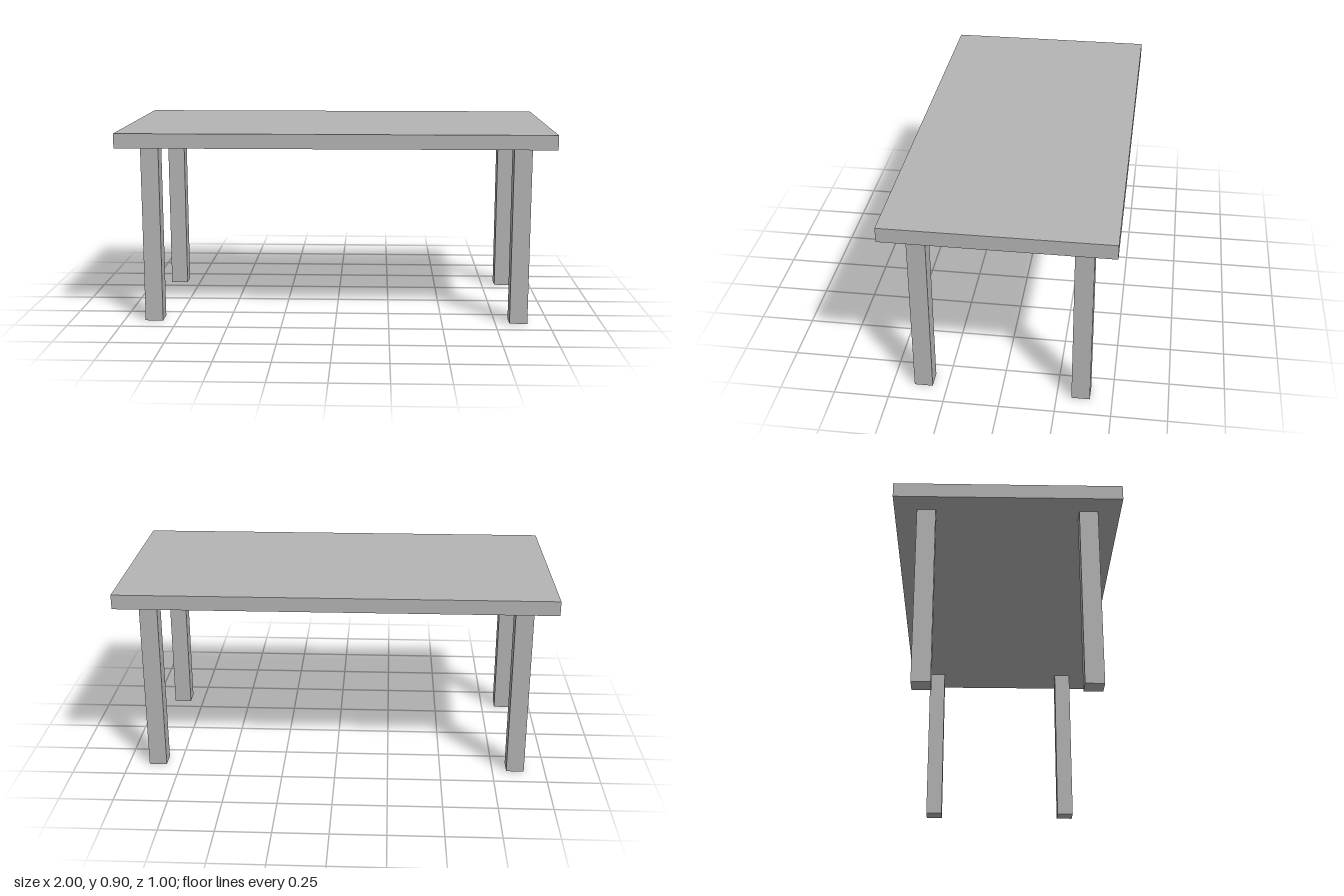
import * as THREE from 'three';

export function createModel() {
  const table = new THREE.Group();
  table.name = 'table';
  const grey = new THREE.MeshStandardMaterial({ color: 0xb4b4b4 });
  grey.name = 'plain grey';

  const height = 0.902, thickness = 0.067, legWidth = 0.083;
  const legHeight = height - thickness;

  const addBox = (name, w, h, d, x, y, z) => {
    const mesh = new THREE.Mesh(new THREE.BoxGeometry(w, h, d), grey);
    mesh.name = name;
    mesh.position.set(x, y, z);
    table.add(mesh);
  };

  // Table top
  addBox('tableTop', 2, thickness, 1, 0, height - thickness / 2, 0);

  // Four square legs, inset 0.1 from each edge of the top
  const legX = 0.9 - legWidth / 2, legZ = 0.4 - legWidth / 2;
  for (const [side, sx] of [['Left', 1], ['Right', -1]]) {
    for (const [end, sz] of [['front', 1], ['back', -1]]) {
      addBox(`${end}${side}Leg`, legWidth, legHeight, legWidth, sx * legX, legHeight / 2, sz * legZ);
    }
  }
  return table;
}
